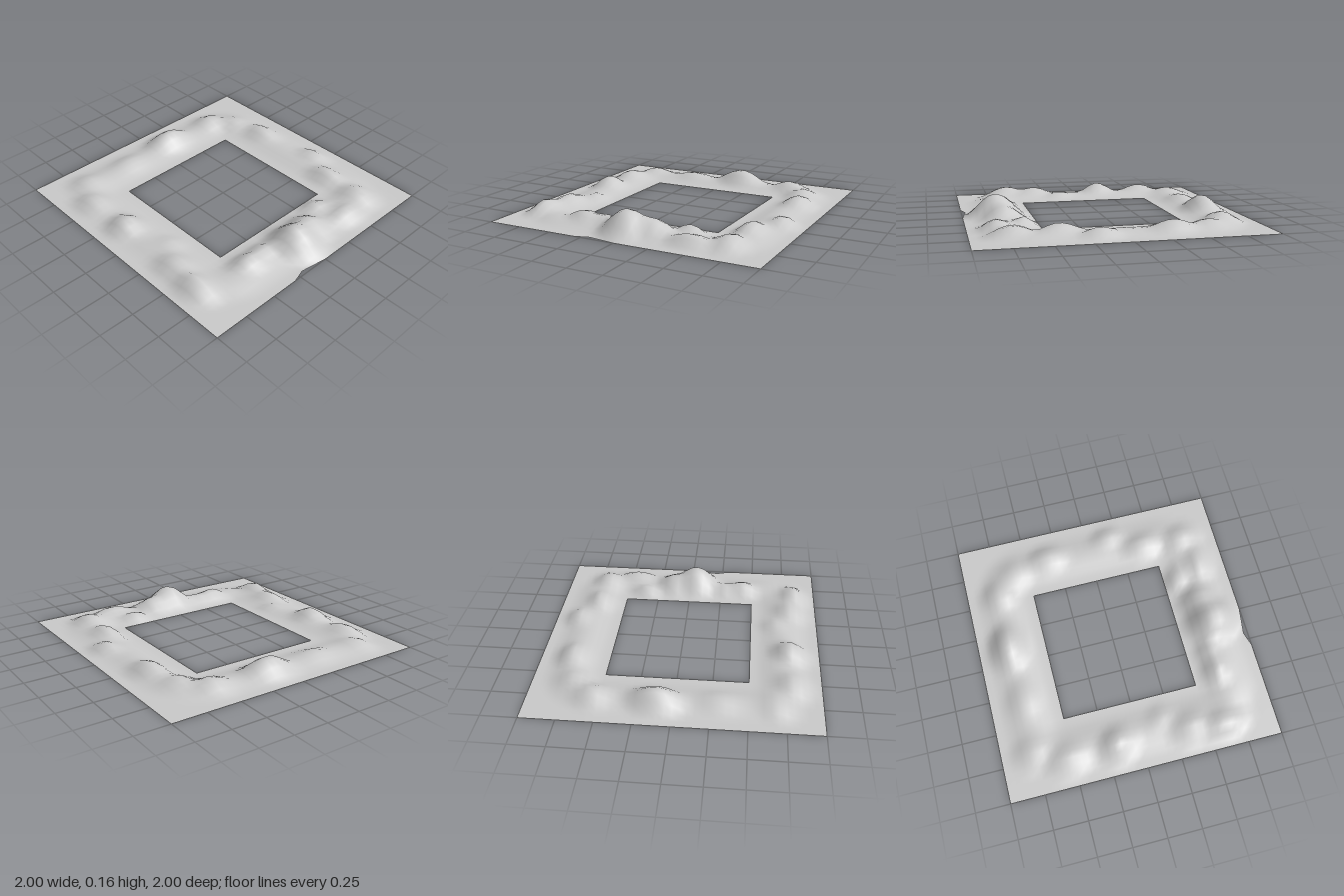
import * as THREE from 'three';

const STEP = 0.05, N = 40, HOLE = 0.5;

// Hills along the ring: x, z, radius in x, radius in z, height
const hills = [
  // right side
  [0.76, 0.04, 0.24, 0.24, 0.16], [0.72, -0.13, 0.2, 0.2, 0.105],
  [0.69, 0.42, 0.14, 0.2, 0.085], [0.68, 0.27, 0.13, 0.17, 0.07],
  [0.61, -0.35, 0.11, 0.16, 0.065], [0.8, -0.45, 0.14, 0.25, 0.07],
  // back side
  [0.72, -0.68, 0.22, 0.17, 0.075], [0.42, -0.7, 0.24, 0.14, 0.08],
  [0.17, -0.82, 0.2, 0.13, 0.065], [-0.33, -0.76, 0.25, 0.16, 0.08],
  [-0.6, -0.7, 0.2, 0.17, 0.06],
  // left side
  [-0.75, -0.55, 0.18, 0.2, 0.075], [-0.77, -0.12, 0.18, 0.28, 0.12],
  [-0.75, 0.3, 0.17, 0.25, 0.055], [-0.76, 0.68, 0.19, 0.18, 0.055],
  // front side
  [-0.53, 0.79, 0.23, 0.16, 0.07], [-0.17, 0.78, 0.2, 0.17, 0.098],
  [0.18, 0.68, 0.16, 0.13, 0.045], [0.38, 0.79, 0.24, 0.16, 0.075],
  [0.6, 0.82, 0.24, 0.14, 0.09],
];

const falloff = (q) => (q < 1 ? (1 - q * q) ** 2 : 0);

function terrainHeight(x, z) {
  // low continuous ridge with rounded corners
  const dx = Math.max(Math.abs(x) - 0.54, 0), dz = Math.max(Math.abs(z) - 0.54, 0);
  const ridge = 0.032 * falloff(Math.abs(Math.hypot(dx, dz) - 0.2) / 0.19);
  let sum = ridge ** 3;
  for (const [hx, hz, rx, rz, h] of hills) {
    sum += (h * falloff(Math.hypot((x - hx) / rx, (z - hz) / rz))) ** 3;
  }
  // the sheet stays flat at its inner and outer borders
  const m = Math.max(Math.abs(x), Math.abs(z));
  const inner = THREE.MathUtils.clamp((m - HOLE) / 0.05, 0, 1);
  const outer = THREE.MathUtils.clamp((1 - m) / 0.05, 0, 1);
  return Math.cbrt(sum) * inner * outer;
}

// Small dent in the right border
function edgeDent(z) {
  if (z <= 0 || z >= 0.3) return 0;
  return 0.03 * (z < 0.2 ? z / 0.2 : (0.3 - z) / 0.1);
}

function mountainRingGeometry() {
  const positions = [], index = [], ids = new Map();
  const vertex = (i, j) => {
    const key = i * (N + 1) + j;
    if (!ids.has(key)) {
      const x = -1 + i * STEP, z = -1 + j * STEP;
      ids.set(key, positions.length / 3);
      positions.push(i === N ? x - edgeDent(z) : x, terrainHeight(x, z), z);
    }
    return ids.get(key);
  };
  for (let i = 0; i < N; i++) {
    for (let j = 0; j < N; j++) {
      const cx = -1 + (i + 0.5) * STEP, cz = -1 + (j + 0.5) * STEP;
      if (Math.max(Math.abs(cx), Math.abs(cz)) < HOLE) continue; // square opening
      const a = vertex(i, j), b = vertex(i, j + 1), c = vertex(i + 1, j + 1), d = vertex(i + 1, j);
      index.push(a, b, d, b, c, d);
    }
  }
  const geometry = new THREE.BufferGeometry();
  geometry.setAttribute('position', new THREE.Float32BufferAttribute(positions, 3));
  geometry.setIndex(index);
  geometry.computeVertexNormals();
  return geometry;
}

export function createModel() {
  const group = new THREE.Group();
  group.name = 'terrain';
  const material = new THREE.MeshStandardMaterial({ color: 0xcccccc, side: THREE.DoubleSide });
  const ring = new THREE.Mesh(mountainRingGeometry(), material);
  ring.name = 'mountainRing';
  group.add(ring);
  return group;
}
